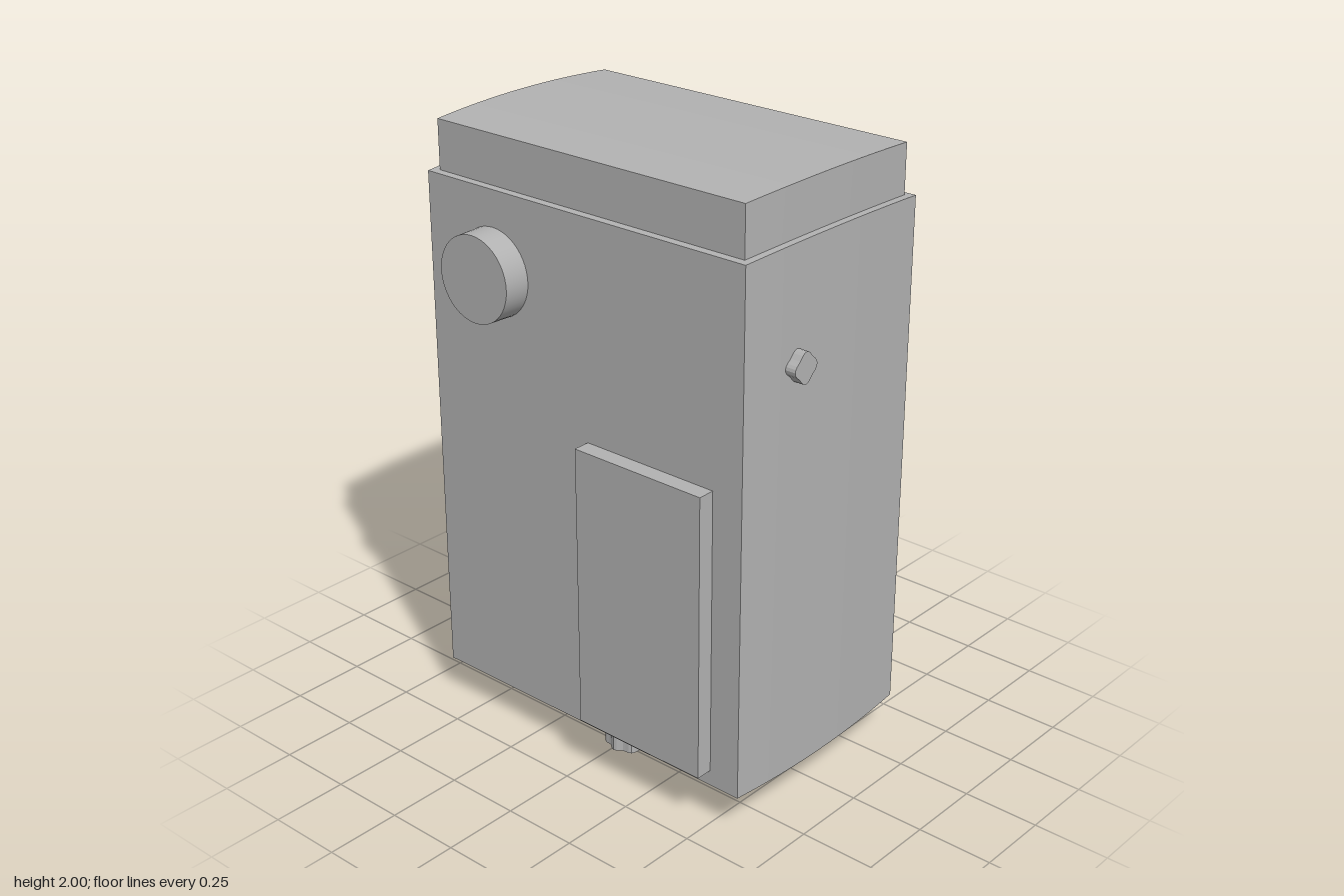
import * as THREE from 'three';

const grey = new THREE.MeshStandardMaterial({ color: 0xb2b2b2 });
grey.name = 'plain grey';

// Block whose sides, top and bottom swell gently towards the middle of its depth
function swollenBlock(x0, x1, y0, y1, z0, z1, swell) {
  const w = x1 - x0, h = y1 - y0, d = z1 - z0;
  const geo = new THREE.BoxGeometry(w, h, d, 1, 1, 16);
  const p = geo.attributes.position;
  for (let i = 0; i < p.count; i++) {
    const t = p.getZ(i) / (d / 2);
    const s = swell * (1 - t * t);
    p.setX(i, p.getX(i) + Math.sign(p.getX(i)) * s);
    p.setY(i, p.getY(i) + Math.sign(p.getY(i)) * s);
  }
  geo.computeVertexNormals();
  return geo.translate((x0 + x1) / 2, (y0 + y1) / 2, (z0 + z1) / 2);
}

// Grip with rounded flutes, extruded along +z from 0 to depth
function flutedGrip(radius, flute, lobes, steps, depth) {
  const pts = [];
  const n = lobes * steps;
  for (let i = 0; i < n; i++) {
    const a = (i / n) * Math.PI * 2;
    const r = radius - flute * (0.5 - 0.5 * Math.cos(a * lobes));
    pts.push(new THREE.Vector2(Math.cos(a) * r, Math.sin(a) * r));
  }
  return new THREE.ExtrudeGeometry(new THREE.Shape(pts), { depth, bevelEnabled: false });
}

export function createModel() {
  const model = new THREE.Group();
  model.name = 'boxDevice';
  const add = (name, geo, x = 0, y = 0, z = 0) => {
    const mesh = new THREE.Mesh(geo, grey);
    mesh.name = name;
    mesh.position.set(x, y, z);
    model.add(mesh);
    return mesh;
  };

  // Main case and the narrower lid
  add('case', swollenBlock(-0.633, 0.6, 0.133, 1.828, -0.389, 0.386, 0.012));
  add('lid', swollenBlock(-0.608, 0.576, 1.8, 1.988, -0.366, 0.361, 0.012));

  // Round port and raised panel on both the front and the back
  for (const [side, s] of [['front', 1], ['back', -1]]) {
    const port = new THREE.CylinderGeometry(0.138, 0.141, 0.1, 48);
    port.rotateX(s * Math.PI / 2);
    add(side + 'Port', port, -0.363, 1.57, s * 0.424 - 0.002);
    add(side + 'Panel', new THREE.BoxGeometry(0.484, 0.94, 0.07), 0.251, 0.655, s * 0.409 - 0.002);
  }

  // Large knurled wheel under the case
  const wheel = flutedGrip(0.25, 0.008, 40, 4, 0.1);
  wheel.rotateX(-Math.PI / 2);
  add('bottomWheel', wheel, -0.365, 0.042, 0);

  // Two small fluted knobs beside it
  for (const z of [0.214, -0.21]) {
    const knob = flutedGrip(0.081, 0.011, 8, 6, 0.14);
    knob.rotateX(-Math.PI / 2);
    add('bottomKnob', knob, 0.01, 0.002, z);
  }

  // Little knob on the left side
  const button = flutedGrip(0.05, 0.01, 4, 8, 0.05);
  button.rotateY(Math.PI / 2);
  add('sideKnob', button, 0.593, 1.473, 0.165);

  return model;
}
